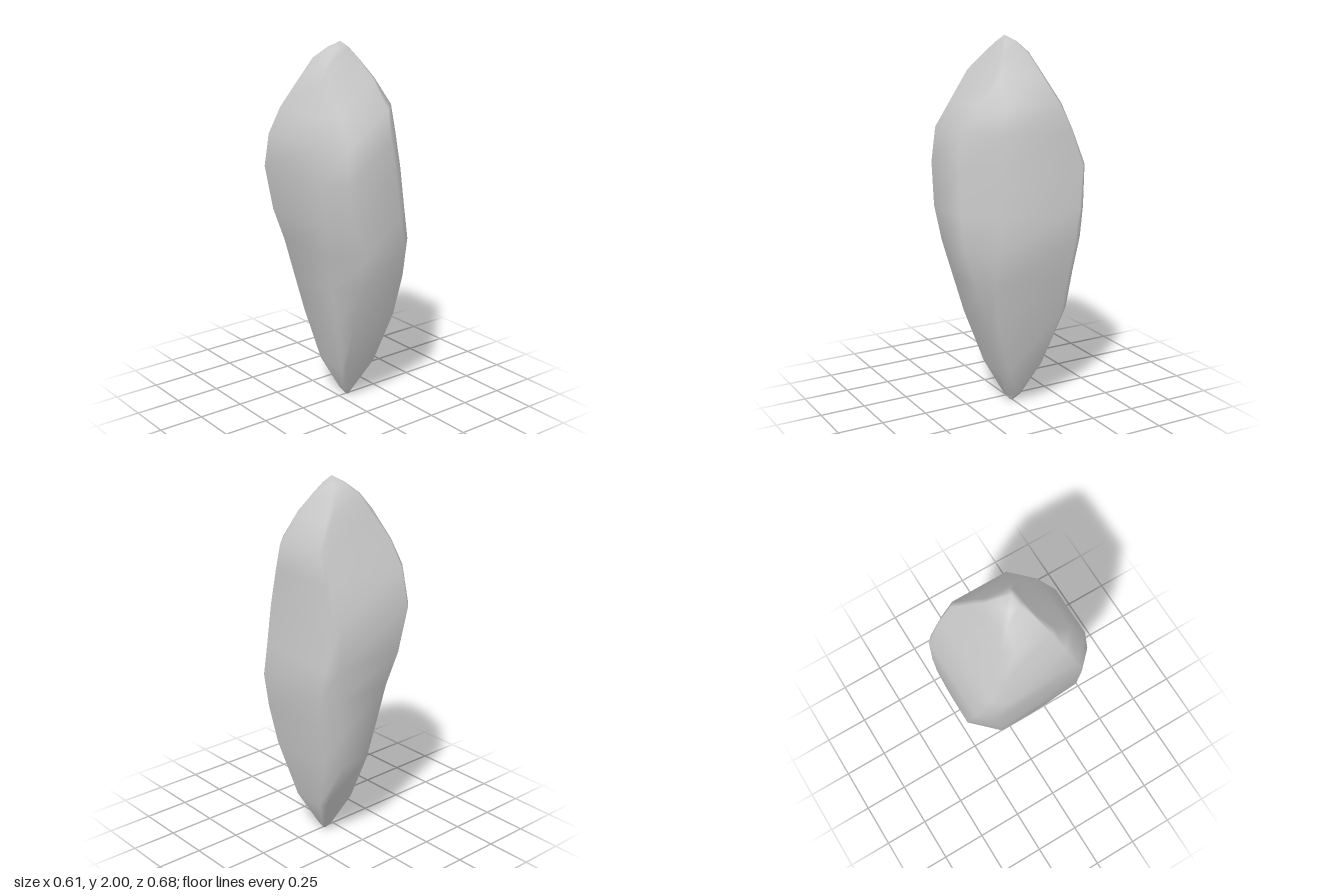
import * as THREE from 'three';

// Each ring: height, then how far the stone reaches in eight directions:
// +x, +x+z, +z, -x+z, -x, -x-z, -z, +x-z
const RINGS = [
  [0.0, 0.07, 0.052, 0.01, -0.035, -0.05, -0.035, 0.01, 0.052],
  [0.04, 0.105, 0.07, 0.04, 0.0, -0.02, 0.0, 0.04, 0.095],
  [0.22, 0.185, 0.19, 0.12, 0.115, 0.06, 0.105, 0.13, 0.205],
  [0.52, 0.24, 0.3, 0.225, 0.21, 0.135, 0.195, 0.28, 0.315],
  [0.73, 0.27, 0.345, 0.285, 0.26, 0.185, 0.245, 0.305, 0.35],
  [0.93, 0.305, 0.365, 0.345, 0.305, 0.235, 0.29, 0.325, 0.39],
  [1.1, 0.29, 0.345, 0.345, 0.365, 0.275, 0.35, 0.335, 0.405],
  [1.33, 0.27, 0.32, 0.34, 0.385, 0.295, 0.395, 0.337, 0.41],
  [1.52, 0.255, 0.29, 0.325, 0.36, 0.307, 0.36, 0.258, 0.355],
  [1.66, 0.245, 0.265, 0.24, 0.29, 0.25, 0.3, 0.2, 0.3],
  [1.81, 0.147, 0.18, 0.137, 0.22, 0.2, 0.2, 0.14, 0.19],
  [1.91, 0.08, 0.1, 0.07, 0.12, 0.11, 0.135, 0.1, 0.115],
  [1.965, 0.045, 0.05, 0.04, 0.055, 0.055, 0.06, 0.05, 0.055],
];
const SIDES = 8;

// Corner where the boundary lines of two neighbouring directions cross
function corner(reach, i) {
  const j = (i + 1) % SIDES;
  const a = (i * Math.PI) / 4, b = a + Math.PI / 4;
  const s = Math.sin(b - a);
  return [
    (reach[i] * Math.sin(b) - reach[j] * Math.sin(a)) / s,
    (reach[j] * Math.cos(a) - reach[i] * Math.cos(b)) / s,
  ];
}

function shardGeometry() {
  const positions = [], index = [];
  for (const [y, ...reach] of RINGS) {
    for (let i = 0; i < SIDES; i++) {
      const [x, z] = corner(reach, i);
      positions.push(x, y, z);
    }
  }
  // Walls between neighbouring rings
  for (let r = 0; r < RINGS.length - 1; r++) {
    for (let i = 0; i < SIDES; i++) {
      const a = r * SIDES + i, b = r * SIDES + ((i + 1) % SIDES);
      index.push(a, a + SIDES, b, b, a + SIDES, b + SIDES);
    }
  }
  // Closed bottom point and top point
  const bottom = positions.length / 3, top = bottom + 1;
  positions.push(0.06, 0, 0, 0, 2, 0.01);
  const last = (RINGS.length - 1) * SIDES;
  for (let i = 0; i < SIDES; i++) {
    const j = (i + 1) % SIDES;
    index.push(bottom, i, j, top, last + j, last + i);
  }
  const geometry = new THREE.BufferGeometry();
  geometry.setAttribute('position', new THREE.Float32BufferAttribute(positions, 3));
  geometry.setIndex(index);
  geometry.computeVertexNormals();
  return geometry;
}

export function createModel() {
  const group = new THREE.Group();
  group.name = 'standingStone';
  const shard = new THREE.Mesh(
    shardGeometry(),
    new THREE.MeshStandardMaterial({ color: 0xcccccc })
  );
  shard.name = 'stoneShard';
  group.add(shard);
  return group;
}
